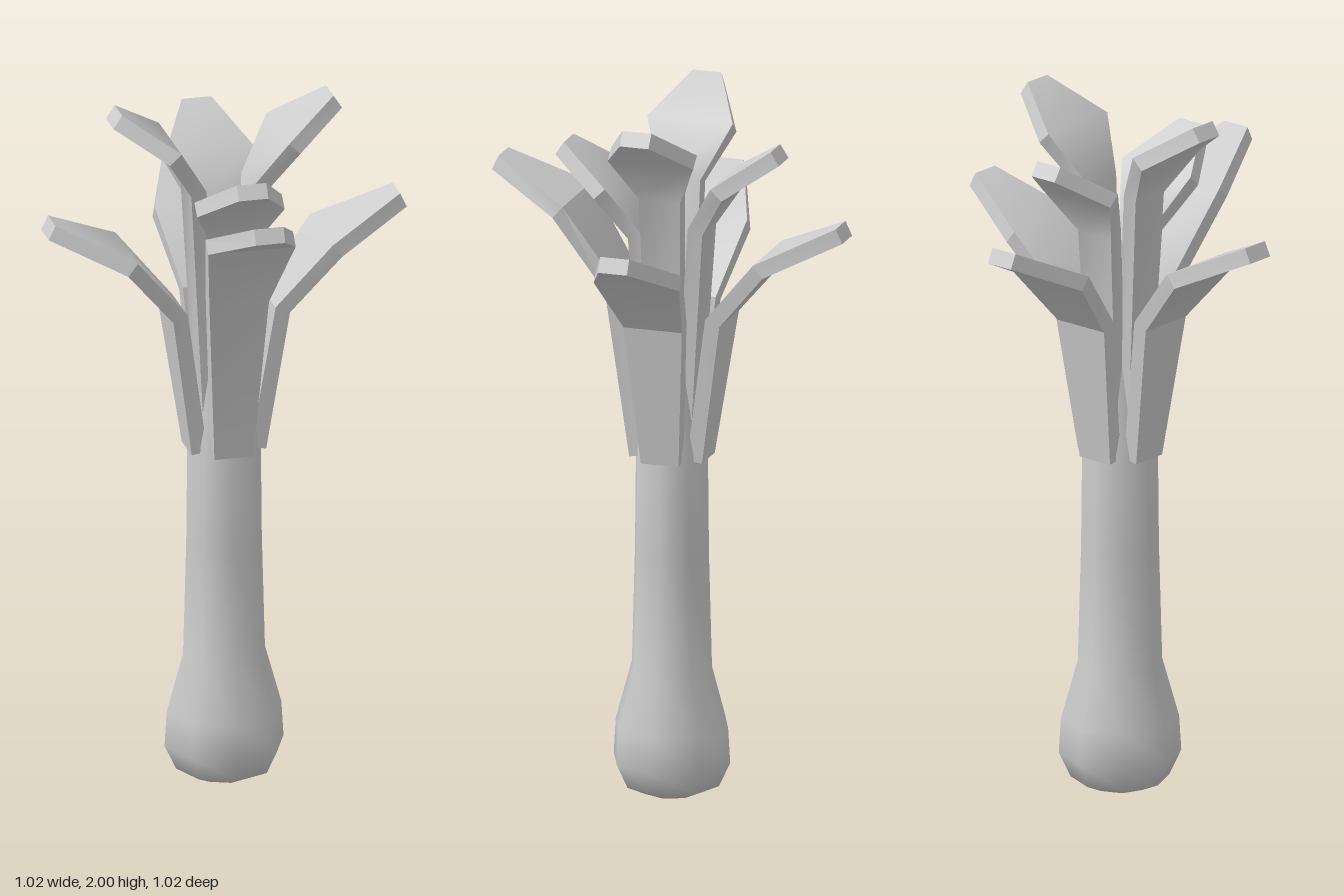
import * as THREE from 'three';
import { toCreasedNormals } from 'three/addons/utils/BufferGeometryUtils.js';

const THICK = 0.045;

// Leaf: a bent slab; each station is [distance outward, height, half width]
function leafGeometry(stations) {
  const pts = stations.map(([z, y]) => new THREE.Vector2(z, y));
  const pos = [], idx = [];
  const n = pts.length;
  stations.forEach(([z, y, w], i) => {
    const a = pts[Math.max(i - 1, 0)], b = pts[Math.min(i + 1, n - 1)];
    const dIn = pts[i].clone().sub(a).normalize();
    const dOut = b.clone().sub(pts[i]).normalize();
    const t = dIn.add(dOut).normalize();
    // normal pointing outward and down, away from the stem axis
    const nz = t.y * THICK / 2, ny = -t.x * THICK / 2;
    pos.push(-w, y + ny, z + nz, w, y + ny, z + nz,
      w, y - ny, z - nz, -w, y - ny, z - nz);
  });
  for (let i = 0; i < n - 1; i++) {
    for (let k = 0; k < 4; k++) {
      const a = i * 4 + k, b = i * 4 + (k + 1) % 4;
      idx.push(a, b, b + 4, a, b + 4, a + 4);
    }
  }
  const e = (n - 1) * 4;
  idx.push(0, 2, 1, 0, 3, 2, e, e + 1, e + 2, e, e + 2, e + 3);
  const g = new THREE.BufferGeometry();
  g.setAttribute('position', new THREE.Float32BufferAttribute(pos, 3));
  g.setIndex(idx);
  return toCreasedNormals(g, 0.5);
}

export function createModel() {
  const group = new THREE.Group();
  const grey = new THREE.MeshStandardMaterial({ color: 0xcccccc });
  grey.name = 'plain grey';

  // Bulb and stalk, tapering up between the leaves
  const profile = [
    [0, 0], [0.08, 0.004], [0.137, 0.03], [0.17, 0.1], [0.164, 0.2],
    [0.117, 0.37], [0.108, 0.7], [0.105, 1.0], [0.07, 1.26], [0, 1.26],
  ].map(([x, y]) => new THREE.Vector2(x, y));
  const stalk = new THREE.Mesh(
    toCreasedNormals(new THREE.LatheGeometry(profile, 8), 1.0), grey);
  stalk.name = 'stalk';
  group.add(stalk);

  // Four outer and four inner leaves; lift raises the bent part
  const outer = (lift) => [
    [0.084, 0.98, 0.055], [0.146, 1.395 + lift * 0.6, 0.085],
    [0.292, 1.57 + lift, 0.125], [0.502, 1.67 + lift, 0.042]];
  const inner = (lift) => [
    [0.045, 1.0, 0.045], [0.087, 1.63 + lift, 0.06],
    [0.17, 1.765 + lift, 0.125], [0.314, 1.86 + lift, 0.042]];
  const leaves = [
    ['front', 0, 0.115, -0.015],
    ['left', Math.PI / 2, 0, 0.12],
    ['back', Math.PI, 0, 0.015],
    ['right', -Math.PI / 2, 0, 0.12],
  ];
  for (const [side, angle, outerLift, innerLift] of leaves) {
    for (const [kind, stations] of [['Outer', outer(outerLift)], ['Inner', inner(innerLift)]]) {
      const leaf = new THREE.Mesh(leafGeometry(stations), grey);
      leaf.name = side + kind + 'Leaf';
      leaf.rotation.y = angle;
      group.add(leaf);
    }
  }
  return group;
}
